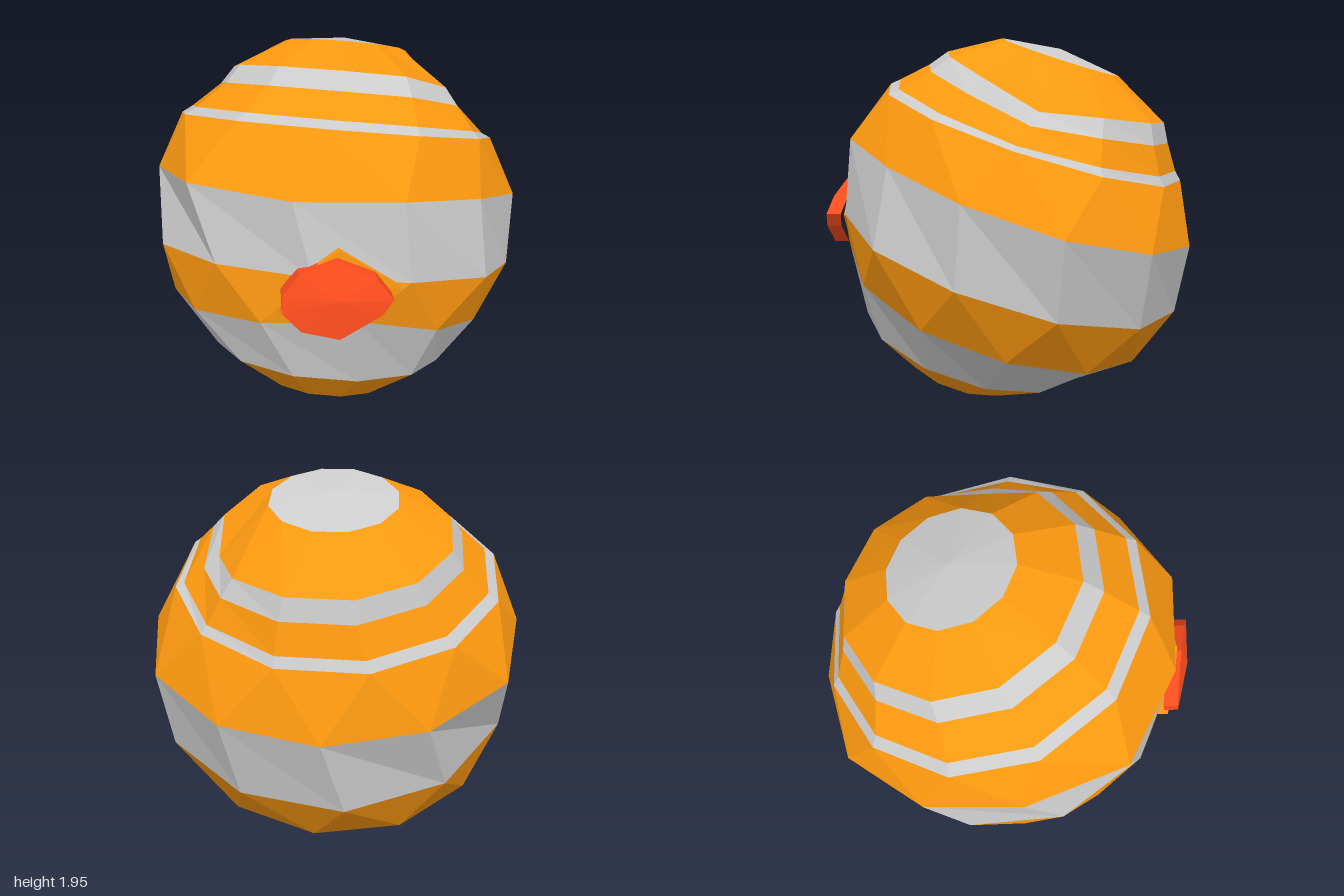
import * as THREE from 'three';

const ORANGE = 0xff9a10, GREY = 0xcccccc, RED = 0xff4d1e;
const SIDES = 12;
const CENTRE = new THREE.Vector3(0, 0.97, 0);
const AXIS = new THREE.Vector3(0.119, 0.949, -0.294).normalize();
const TILT = new THREE.Quaternion().setFromUnitVectors(new THREE.Vector3(0, 1, 0), AXIS);
const rad = THREE.MathUtils.degToRad;

// Uneven outlines of the two widest rings
const UPPER_BULGE = [0.95, 0.89, 0.91, 0.957, 0.95, 0.95, 0.976, 1.02, 1.0, 0.985, 1.05, 0.99];
const LOWER_BULGE = [0.88, 0.91, 0.92, 0.95, 0.97, 1.0, 1.0, 0.98, 0.97, 0.96, 0.93, 0.88];

// Rings from pole to pole: height, radius (or radii), turn in degrees, sideways shift x and z,
// local bend up or down, and the direction of that bend in degrees
const RINGS = [
  [0.92, 0.32, 22, -0.05, 0.01, 0, 0],
  [0.765, 0.605, 20, -0.03, -0.01, -0.09, 80],
  [0.67, 0.67, 20, -0.03, 0.0, -0.06, 80],
  [0.54, 0.785, 20, -0.06, 0.02, -0.02, 80],
  [0.50, 0.83, 20, -0.07, 0.02, 0, 0],
  [0.225, UPPER_BULGE, 9, 0, 0, -0.045, -25],
  [-0.16, LOWER_BULGE, 15, 0, 0, 0, 0],
  [-0.46, 0.84, 2, -0.03, -0.07, 0.1, 0],
  [-0.72, 0.615, 7, -0.01, 0, 0, 0],
  [-0.91, 0.33, 6, 0, 0, 0, 0],
];

const place = (x, y, z) => new THREE.Vector3(x, y, z).applyQuaternion(TILT).add(CENTRE);

function ringPoints([h, radius, turn, dx, dz, amount, towards]) {
  return Array.from({ length: SIDES }, (_, k) => {
    const a = rad(turn) + (k / SIDES) * Math.PI * 2;
    const bend = amount * Math.max(0, Math.cos(a - rad(towards))) ** 8;
    const r = (Array.isArray(radius) ? radius[k] : radius) + bend * 0.5;
    return place(dx + r * Math.sin(a), h + bend, dz + r * Math.cos(a));
  });
}

function facetMesh(name, color, points, index) {
  const geo = new THREE.BufferGeometry().setFromPoints(points);
  geo.setIndex(index);
  geo.computeVertexNormals();
  const mesh = new THREE.Mesh(geo, new THREE.MeshStandardMaterial({ color, flatShading: true }));
  mesh.name = name;
  return mesh;
}

// Strip of faces between an upper and a lower ring
function band(name, color, upper, lower) {
  const index = [], n = upper.length;
  for (let k = 0; k < n; k++) {
    const m = (k + 1) % n;
    index.push(k, n + k, n + m, k, n + m, m);
  }
  return facetMesh(name, color, [...upper, ...lower], index);
}

// Fan closing a ring around a middle point
function cap(name, color, ring, middle, up) {
  const index = [], n = ring.length;
  for (let k = 0; k < n; k++) {
    const m = (k + 1) % n;
    index.push(n, up ? k : m, up ? m : k);
  }
  return facetMesh(name, color, [...ring, middle], index);
}

// Domed slab from an outline of [x, y], leaning on the front of the globe
function slab(name, color, outline, z0, z1, dome, [leanX, leanY]) {
  const mx = -0.13, my = 1.03;
  const at = (x, y, z) => new THREE.Vector3(x, y, z + leanX * (x - mx) + leanY * (y - my));
  const back = outline.map(([x, y]) => at(x, y, z0));
  const front = outline.map(([x, y]) => at(x, y, z1));
  const group = new THREE.Group();
  group.name = name;
  group.add(band(name + 'Rim', color, front, back));
  group.add(cap(name + 'Face', color, front, at(mx, my, z1 + dome), true));
  return group;
}

export function createModel() {
  const model = new THREE.Group();
  model.name = 'bandedPlanet';

  // Globe of alternating bands around the tilted axis
  const rings = RINGS.map(ringPoints);
  const globe = new THREE.Group();
  globe.name = 'globe';
  globe.add(cap('topCap', GREY, rings[0], place(-0.06, 0.96, 0.02), true));
  for (let i = 0; i < rings.length - 1; i++) {
    globe.add(band('band' + (i + 1), i % 2 ? GREY : ORANGE, rings[i], rings[i + 1]));
  }
  globe.add(cap('bottomCap', GREY, rings[rings.length - 1], place(0, -0.94, 0), false));
  model.add(globe);

  // Storm spot with its orange surround, outlines run anticlockwise
  model.add(slab('spotSurround', ORANGE,
    [[-0.38, 0.9], [-0.12, 0.85], [0.08, 0.93], [0.18, 1.03], [-0.11, 1.23], [-0.3, 1.1]],
    0.78, 0.87, 0.01, [0.03, 0]));
  model.add(slab('stormSpot', RED,
    [[-0.37, 0.95], [-0.29, 0.87], [-0.12, 0.84], [0.07, 0.96], [0.12, 1.03],
      [0.05, 1.12], [-0.12, 1.2], [-0.29, 1.13], [-0.37, 1.03]],
    0.86, 0.935, 0.03, [0.18, -0.22]));
  return model;
}
